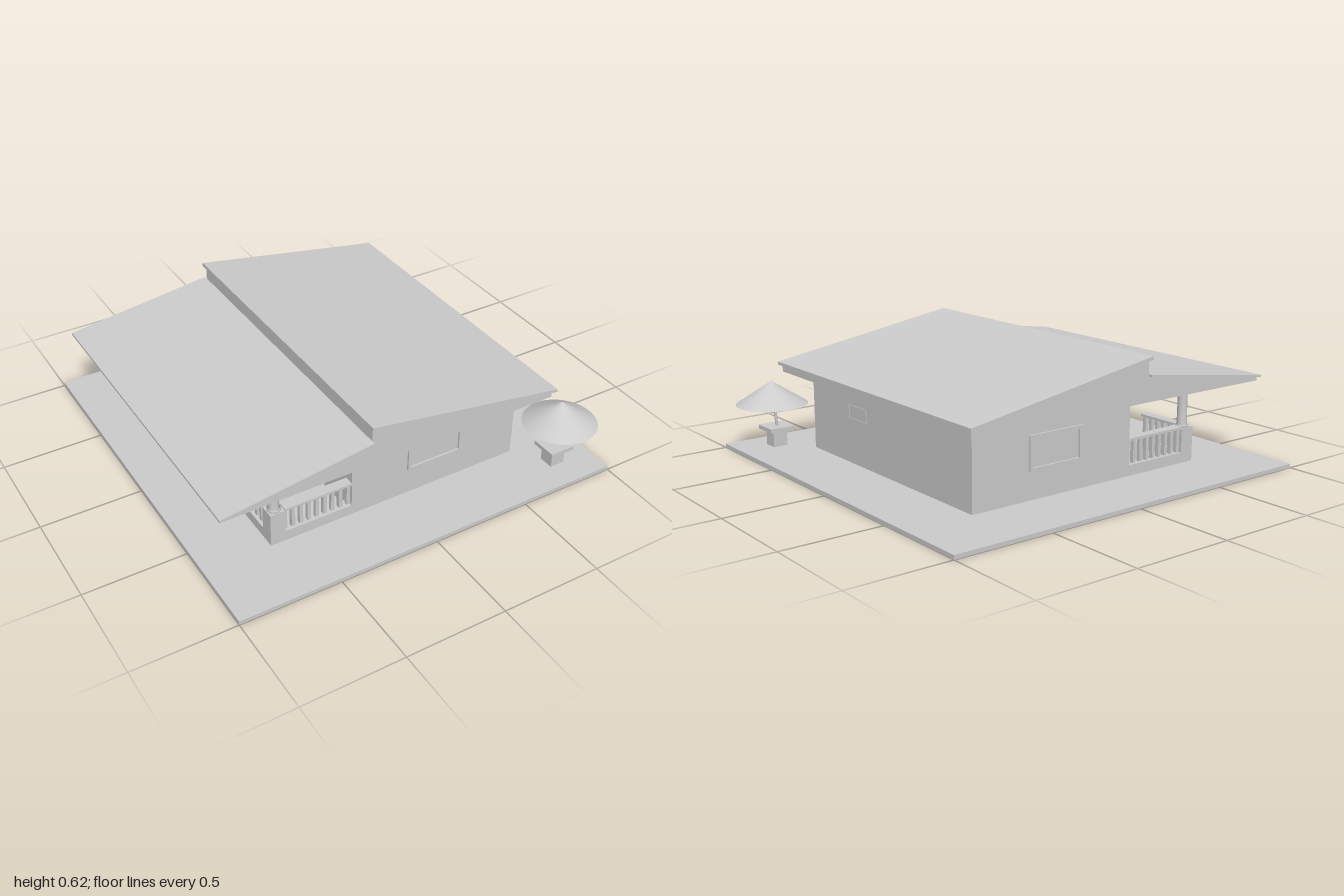
import * as THREE from 'three';

export function createModel() {
  const model = new THREE.Group();
  const gray = new THREE.MeshStandardMaterial({ color: 0xcccccc });
  gray.name = 'plain gray';
  const grayDouble = gray.clone();
  grayDouble.name = 'plain gray canopy';
  grayDouble.side = THREE.DoubleSide;

  const add = (name, geometry, parent = model, material = gray) => {
    const mesh = new THREE.Mesh(geometry, material);
    mesh.name = name;
    parent.add(mesh);
    return mesh;
  };
  // Box given by its lower and upper limits on each axis
  const box = (name, x0, x1, y0, y1, z0, z1, parent) =>
    add(name, new THREE.BoxGeometry(x1 - x0, y1 - y0, z1 - z0), parent)
      .position.set((x0 + x1) / 2, (y0 + y1) / 2, (z0 + z1) / 2);
  const group = (name) => {
    const g = new THREE.Group();
    g.name = name;
    model.add(g);
    return g;
  };
  // Profile in x and y, drawn out along z
  const prism = (name, points, z0, z1) => {
    const shape = new THREE.Shape(points.map(([x, y]) => new THREE.Vector2(x, y)));
    const geometry = new THREE.ExtrudeGeometry(shape, { depth: z1 - z0, bevelEnabled: false });
    add(name, geometry.translate(0, 0, z0));
  };

  // Ground and house body
  box('ground', -1, 1, 0, 0.02, -1, 1);
  box('houseBody', -0.245, 0.665, 0.02, 0.4, -0.665, 0.665);

  // Roof: gable block and two sloping sheets at different heights
  prism('gable', [[-0.97, 0.4], [0.76, 0.4], [0.76, 0.437], [-0.235, 0.598],
    [-0.235, 0.522], [-0.97, 0.42]], -0.79, 0.805);
  prism('highRoof', [[-0.245, 0.6], [0.775, 0.434], [0.775, 0.449], [-0.245, 0.617]], -0.81, 0.825);
  prism('lowRoof', [[-0.98, 0.418], [-0.235, 0.521], [-0.235, 0.532], [-0.98, 0.43]], -0.81, 0.825);

  // Framed opening, built facing +z around its own centre
  const frame = (name, w, h, bar, x, y, z, turn, depth = 0.01) => {
    const shape = new THREE.Shape();
    const rect = (path, a, b) => path.moveTo(-a, -b).lineTo(a, -b).lineTo(a, b).lineTo(-a, b).closePath();
    rect(shape, w / 2, h / 2);
    const hole = new THREE.Path();
    rect(hole, w / 2 - bar, h / 2 - bar);
    shape.holes.push(hole);
    const mesh = add(name, new THREE.ExtrudeGeometry(shape, { depth, bevelEnabled: false }));
    mesh.position.set(x, y, z);
    mesh.rotation.y = turn;
  };
  frame('frontWindow', 0.3, 0.165, 0.015, 0.205, 0.237, 0.665, 0);
  frame('backWindow', 0.3, 0.165, 0.015, 0.205, 0.237, -0.665, Math.PI);
  frame('sideWindow', 0.16, 0.07, 0.006, 0.665, 0.275, 0.25, Math.PI / 2, 0.003);
  frame('porchWindow', 0.3, 0.165, 0.015, -0.245, 0.237, 0.35, -Math.PI / 2);
  frame('door', 0.16, 0.3, 0.015, -0.245, 0.17, -0.2, -Math.PI / 2);

  // Porch pillars: pedestal with a round column and capital
  const pillar = new THREE.LatheGeometry([[0, 0.19], [0.032, 0.19], [0.032, 0.2], [0.025, 0.205],
    [0.023, 0.375], [0.032, 0.383], [0.032, 0.389], [0.04, 0.391], [0.04, 0.4], [0, 0.4]]
    .map(([r, y]) => new THREE.Vector2(r, y)), 24);
  for (const z of [-0.628, 0.155, 0.628]) {
    const g = group('porchPillar');
    box('pedestal', -0.665, -0.591, 0.02, 0.193, z - 0.037, z + 0.037, g);
    add('column', pillar, g).position.set(-0.628, 0, z);
  }

  // Railing along +x from its start: curb, handrail and balusters
  const railing = (length, x, z, turn) => {
    const g = group('porchRailing');
    box('curb', 0, length, 0.02, 0.072, -0.025, 0.025, g);
    box('handrail', 0, length, 0.188, 0.2, -0.025, 0.025, g);
    const count = Math.round(length / 0.046);
    for (let i = 0; i <= count; i++) {
      const c = 0.009 + (length - 0.018) * i / count;
      box('baluster', c - 0.009, c + 0.009, 0.072, 0.188, -0.01, 0.01, g);
    }
    g.position.set(x, 0, z);
    g.rotation.y = turn;
  };
  for (const z of [-0.64, 0.64]) railing(0.346, -0.591, z, 0);
  // Side runs, leaving the entrance gap
  for (const [z0, z1] of [[-0.591, -0.36], [-0.1, 0.118], [0.192, 0.591]])
    railing(z1 - z0, -0.64, z0, -Math.PI / 2);

  // Round pot on the porch
  add('porchPot', new THREE.LatheGeometry([[0, 0.02], [0.03, 0.02], [0.046, 0.05], [0.048, 0.085],
    [0.036, 0.115], [0.036, 0.125], [0.028, 0.125], [0.024, 0.11], [0, 0.11]]
    .map(([r, y]) => new THREE.Vector2(r, y)), 24)).position.set(-0.295, 0, -0.44);

  // Garden table with a leaning parasol
  const table = group('gardenTable');
  box('tableBase', 0.76, 0.836, 0.02, 0.102, 0.788, 0.864, table);
  box('tableTop', 0.733, 0.863, 0.102, 0.122, 0.761, 0.891, table);
  const pole = new THREE.LineCurve3(new THREE.Vector3(0.797, 0.12, 0.823), new THREE.Vector3(0.82, 0.345, 0.82));
  add('parasolPole', new THREE.TubeGeometry(pole, 1, 0.007, 12), table);
  add('parasolCanopy', new THREE.ConeGeometry(0.18, 0.117, 40, 1, true), table, grayDouble)
    .position.set(0.82, 0.2985, 0.82);

  return model;
}
